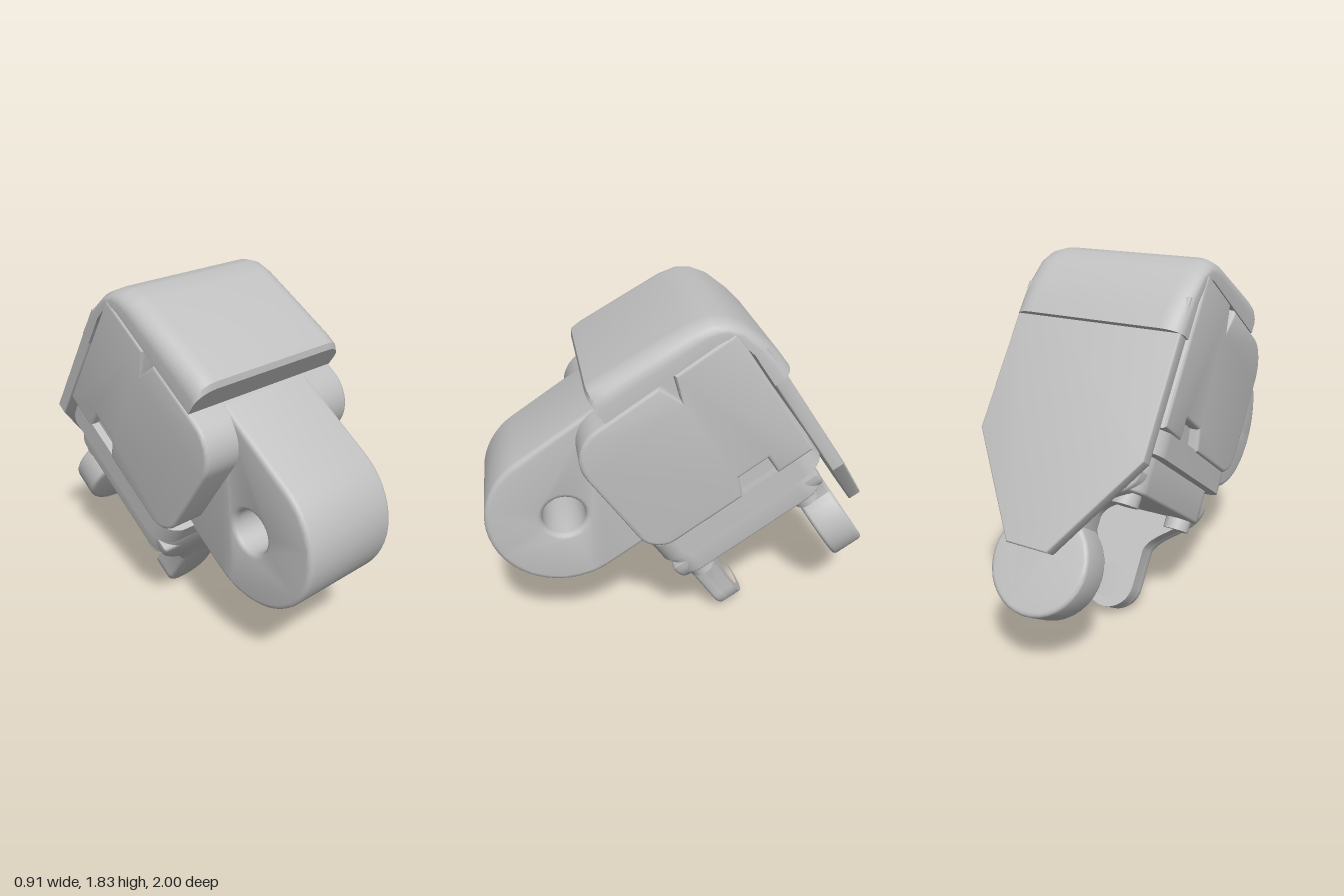
import * as THREE from 'three';
import { toCreasedNormals } from 'three/addons/utils/BufferGeometryUtils.js';

const grey = new THREE.MeshStandardMaterial({ color: 0xc0c0c0 });
grey.name = 'plain grey';

function extrude(shape, depth, bevel) {
  return new THREE.ExtrudeGeometry(shape, {
    depth: depth - 2 * bevel, curveSegments: 14, bevelEnabled: bevel > 0,
    bevelThickness: bevel, bevelSize: bevel, bevelOffset: -bevel, bevelSegments: 3,
  }).translate(0, 0, bevel);
}

// Side profile (backward, up) spread evenly across the width
const across = (shape, width, bevel) =>
  extrude(shape, width, bevel).translate(0, 0, -width / 2).rotateY(Math.PI / 2);

// Plan outline (x, z) hung below a given height
const slab = (shape, top, depth, bevel) =>
  extrude(shape, depth, bevel).rotateX(Math.PI / 2).translate(0, top, 0);

function roundedRect(x0, y0, x1, y1, r) {
  const s = new THREE.Shape();
  s.absarc(x1 - r, y0 + r, r, -Math.PI / 2, 0);
  s.absarc(x1 - r, y1 - r, r, 0, Math.PI / 2);
  s.absarc(x0 + r, y1 - r, r, Math.PI / 2, Math.PI);
  s.absarc(x0 + r, y0 + r, r, Math.PI, Math.PI * 1.5);
  s.closePath();
  return s;
}

// Flared leg outline ending in a round lobe
function legShape(topHalf, neck, neckY, radius, cy) {
  const s = new THREE.Shape();
  const dx = Math.min(neck, radius);
  const joinY = cy + Math.sqrt(radius * radius - dx * dx);
  const a = Math.atan2(joinY - cy, dx);
  s.moveTo(topHalf, 0.5);
  s.bezierCurveTo(topHalf, 0.36, neck + 0.02, neckY + 0.1, neck, neckY);
  s.lineTo(dx, joinY);
  s.absarc(0, cy, radius, a, Math.PI - a, true);
  s.lineTo(-neck, neckY);
  s.bezierCurveTo(-neck - 0.02, neckY + 0.1, -topHalf, 0.36, -topHalf, 0.5);
  s.closePath();
  return s;
}

// Cover: a crowned cross-section swept from the front lip, over the top and down the back
function coverGeometry() {
  // outer z, outer y, inner z, inner y
  const stations = [
    [-0.42, 1.545, -0.42, 1.41], [-0.44, 1.57, -0.44, 1.41], [-0.5, 1.573, -0.5, 1.41],
    [-0.76, 1.552, -0.76, 1.41], [-0.95, 1.535, -0.95, 1.41], [-1.04, 1.51, -1.01, 1.41],
    [-1.1, 1.465, -1.05, 1.405], [-1.15, 1.39, -1.085, 1.375], [-1.19, 1.27, -1.11, 1.27],
    [-1.208, 1.18, -1.11, 1.18], [-1.213, 1.09, -1.11, 1.09],
  ];
  const half = 0.435, r = 0.1, section = [[half, 0]];
  for (let i = 0; i <= 6; i++) {
    const t = (i / 6) * Math.PI / 2;
    section.push([half - r + r * Math.cos(t), 0.4 + 0.6 * Math.sin(t)]);
  }
  for (let i = 7; i >= 0; i--) section.push([-section[i][0], section[i][1]]);
  const n = section.length, pos = [], index = [];
  for (const [oz, oy, iz, iy] of stations)
    for (const [x, f] of section) pos.push(x, iy + (oy - iy) * f, iz + (oz - iz) * f);
  for (let s = 0; s < stations.length - 1; s++)
    for (let i = 0; i < n; i++) {
      const a = s * n + i, b = s * n + (i + 1) % n;
      index.push(a, a + n, b, b, a + n, b + n);
    }
  const last = (stations.length - 1) * n;
  for (let i = 1; i < n - 1; i++) {
    index.push(0, i, i + 1);
    index.push(last, last + i + 1, last + i);
  }
  const geo = new THREE.BufferGeometry();
  geo.setAttribute('position', new THREE.Float32BufferAttribute(pos, 3));
  geo.setIndex(index);
  return geo;
}

export function createModel() {
  const model = new THREE.Group();
  const assembly = new THREE.Group();
  assembly.name = 'tiltedAssembly';
  assembly.rotation.set(0.576, 0.03, 0);
  assembly.position.x = 0.017;
  model.add(assembly);
  const add = (name, geo) => {
    const mesh = new THREE.Mesh(toCreasedNormals(geo, 0.6), grey);
    mesh.name = name;
    assembly.add(mesh);
    return mesh;
  };

  // Main body with small notches in its upper and lower edges
  const body = new THREE.Shape();
  body.moveTo(0.32, 0.69);
  [[0.7, 0.69], [0.74, 0.79], [0.9, 0.79], [0.9, 0.69], [1.1, 0.69], [1.1, 1.41],
    [0.78, 1.41], [0.74, 1.29], [0.7, 1.41], [0.37, 1.41]].forEach(p => body.lineTo(...p));
  body.bezierCurveTo(0.27, 1.41, 0.19, 1.33, 0.19, 1.23);
  body.lineTo(0.19, 0.82);
  body.bezierCurveTo(0.19, 0.75, 0.25, 0.69, 0.32, 0.69);
  add('body', across(body, 0.88, 0.02));
  add('bodyCore', new THREE.BoxGeometry(0.78, 0.71, 0.5).translate(0, 1.05, -0.83));

  // Hinge lug with a through hole
  const lug = new THREE.Shape();
  lug.moveTo(0.4, 1.418);
  lug.lineTo(-0.06, 1.418);
  lug.absarc(-0.06, 1.043, 0.375, Math.PI / 2, Math.PI * 1.5);
  lug.lineTo(0.4, 0.668);
  lug.closePath();
  const bore = new THREE.Path();
  bore.absarc(-0.06, 1.043, 0.105, 0, Math.PI * 2, true);
  lug.holes.push(bore);
  add('hingeLug', across(lug, 0.52, 0.025));

  // Stepped base plates
  add('upperBasePlate', slab(roundedRect(-0.43, -1.11, 0.43, -0.19, 0.12), 0.7, 0.12, 0));
  add('lowerBasePlate', slab(roundedRect(-0.365, -1.055, 0.365, -0.19, 0.12), 0.6, 0.193, 0.015));

  // Front leg: solid outer layer and an inner layer with a round recess
  const frontShape = () => legShape(0.36, 0.135, 0.21, 0.135, 0.017);
  add('frontLeg', extrude(frontShape(), 0.08, 0.02).translate(0, 0, -0.27));
  const recessed = frontShape();
  const recess = new THREE.Path();
  recess.absarc(0, 0.017, 0.09, 0, Math.PI * 2, true);
  recessed.holes.push(recess);
  add('frontLegInner', extrude(recessed, 0.075, 0).translate(0, 0, -0.325));

  // Rear leg with the larger lobe
  add('rearLeg', extrude(legShape(0.36, 0.15, 0.28, 0.245, 0.012), 0.18, 0.02).translate(0, 0, -1.052));

  // Bolt heads under the base corners
  for (const x of [-0.27, 0.27])
    for (const z of [-0.3, -0.93])
      add('boltHead', new THREE.CylinderGeometry(0.065, 0.065, 0.07, 16).translate(x, 0.385, z));

  // Cover and the tapering back panel
  add('cover', coverGeometry());
  const panel = new THREE.Shape();
  [[0.425, 1.26], [-0.425, 1.26], [-0.425, 0.52], [-0.105, 0.053], [0.105, 0.053], [0.425, 0.52]]
    .forEach(([x, y], i) => (i ? panel.lineTo(x, y) : panel.moveTo(x, y)));
  panel.closePath();
  add('backPanel', extrude(panel, 0.07, 0.008).translate(0, 0, -1.18));

  return model;
}
